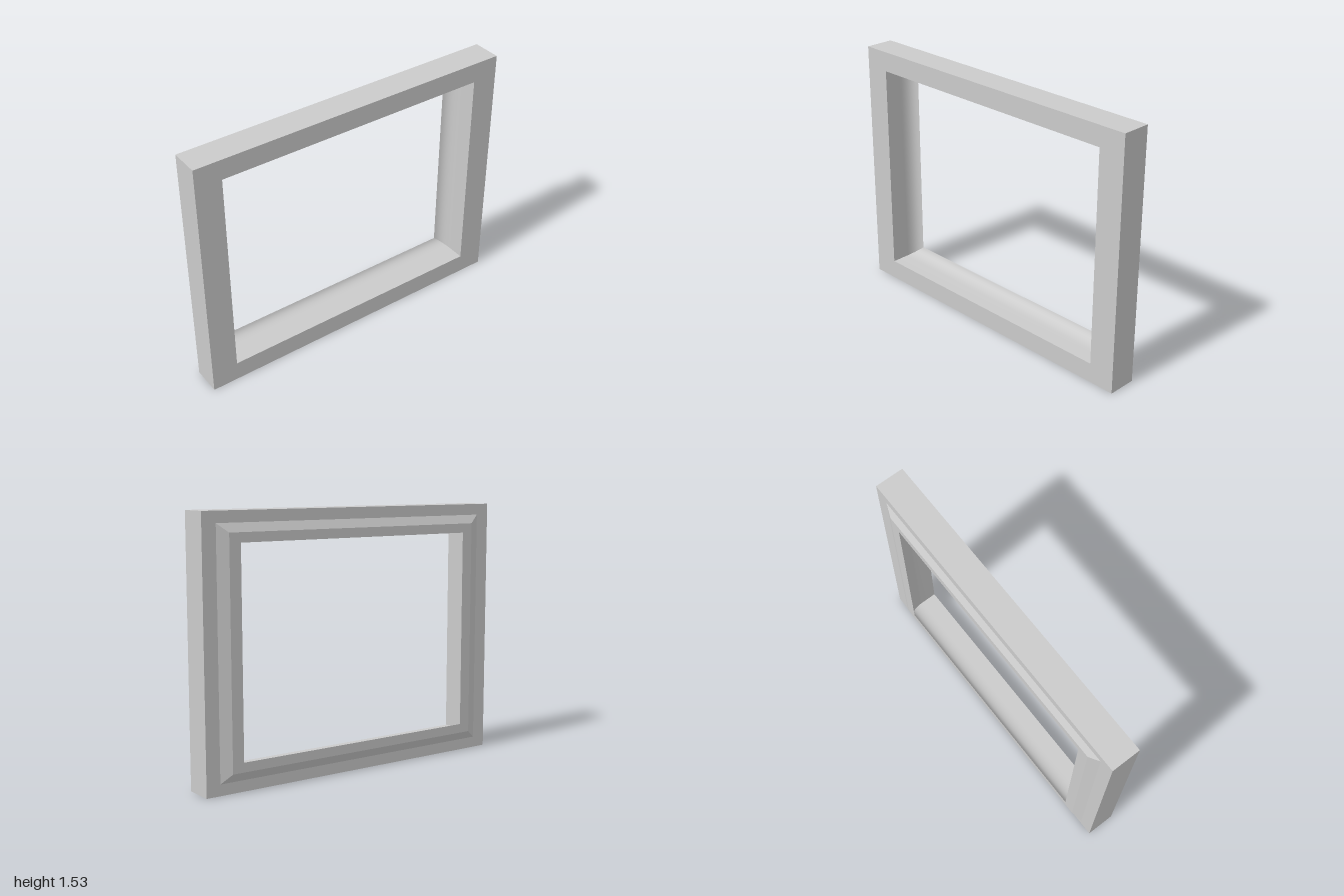
import * as THREE from 'three';
import { toCreasedNormals } from 'three/addons/utils/BufferGeometryUtils.js';

const MID_Y = 0.765; // height of the frame's centre

// Sweeps a profile of [x, half length in z, half height in y] around a mitred rectangle.
function mitredRing(name, profile, material) {
  const corners = [[1, 1], [-1, 1], [-1, -1], [1, -1]]; // signs of z, y
  const at = ([x, hz, hy], [sz, sy]) => [x, MID_Y + sy * hy, sz * hz];
  const positions = [];
  corners.forEach((a, i) => {
    const b = corners[(i + 1) % 4];
    for (let j = 0; j < profile.length - 1; j++) {
      const p = profile[j], q = profile[j + 1];
      positions.push(...at(p, a), ...at(p, b), ...at(q, b));
      positions.push(...at(p, a), ...at(q, b), ...at(q, a));
    }
  });
  const geometry = new THREE.BufferGeometry();
  geometry.setAttribute('position', new THREE.Float32BufferAttribute(positions, 3));
  const mesh = new THREE.Mesh(toCreasedNormals(geometry, 0.3), material);
  mesh.name = name;
  return mesh;
}

export function createModel() {
  const material = new THREE.MeshStandardMaterial({ color: 0xcccccc, side: THREE.DoubleSide });
  const group = new THREE.Group();
  group.name = 'rectangularFrame';

  // Square-edged outer frame
  group.add(mitredRing('outerFrame', [
    [0.1, 0.84, 0.645],
    [0.1, 1, 0.765],
    [-0.075, 1, 0.765],
    [-0.075, 0.915, 0.7],
  ], material));

  // Raised bevel, flat lip, hollow curve and straight inner wall
  const cove = new THREE.QuadraticBezierCurve(
    new THREE.Vector2(-0.1, 1),
    new THREE.Vector2(-0.085, 0),
    new THREE.Vector2(0, 0),
  ).getPoints(10).map(({ x, y }) => [x, 0.84 - 0.06 * y, 0.645 - 0.05 * y]);
  group.add(mitredRing('innerMoulding', [
    [-0.075, 0.915, 0.7],
    [-0.1, 0.85, 0.65],
    ...cove,
    [0.1, 0.84, 0.645],
  ], material));

  return group;
}
